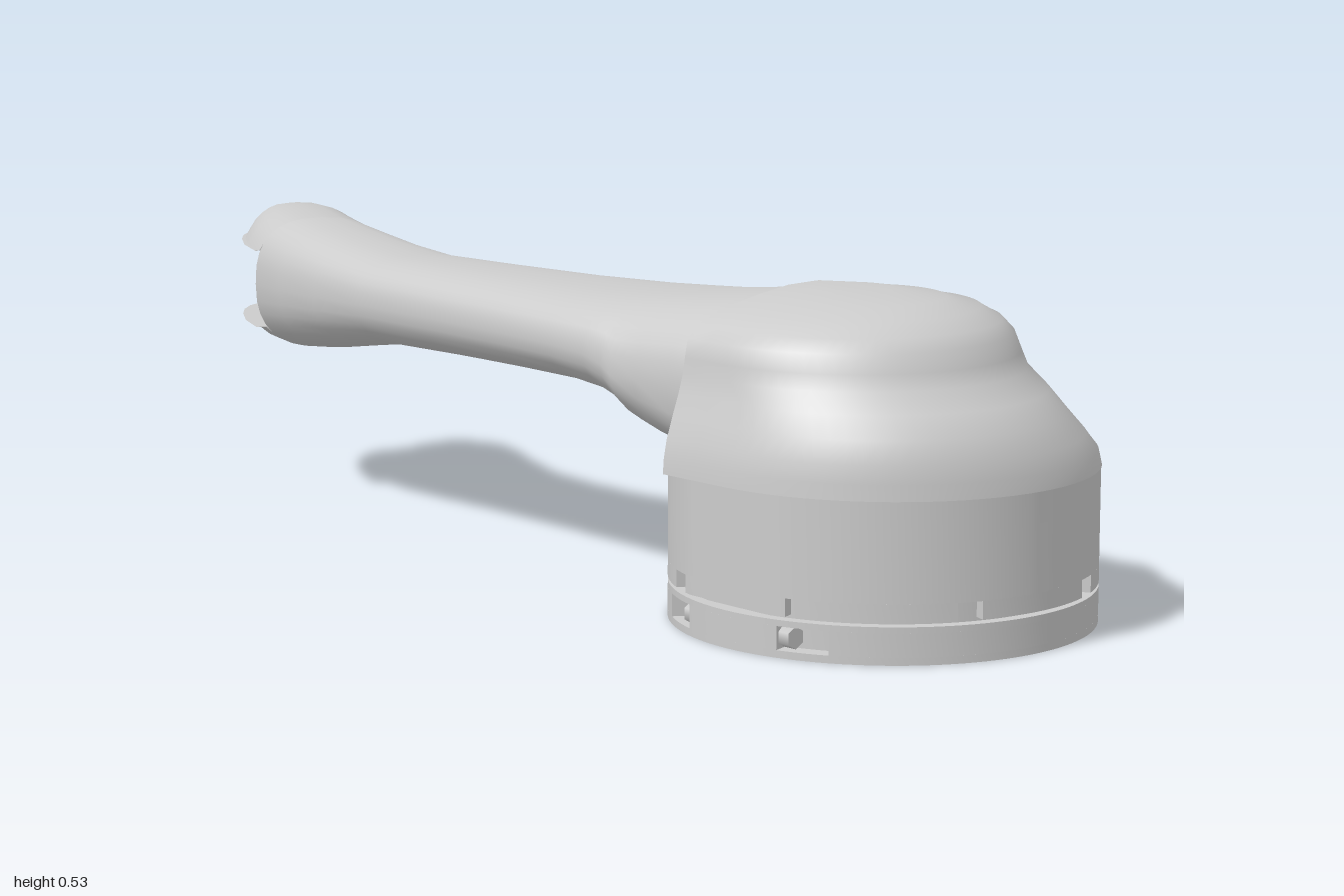
import * as THREE from 'three';
import { toCreasedNormals } from 'three/addons/utils/BufferGeometryUtils.js';

const material = new THREE.MeshStandardMaterial({ color: 0xcccccc });
const thinMaterial = new THREE.MeshStandardMaterial({ color: 0xcccccc, side: THREE.DoubleSide });
const HUB_Z = 0.65;
const TAU = Math.PI * 2;

function addMesh(parent, name, geometry, mat = material) {
  const mesh = new THREE.Mesh(geometry, mat);
  mesh.name = name;
  parent.add(mesh);
  return mesh;
}

// Skin over rows of [x, y, z] points; closed rows wrap round and get end caps
function loft(rows, closed, crease) {
  const n = rows[0].length, points = rows.flat(), index = [];
  const columns = closed ? n : n - 1;
  for (let i = 0; i < rows.length - 1; i++) {
    for (let j = 0; j < columns; j++) {
      const k = (j + 1) % n, a = i * n + j, b = i * n + k;
      index.push(a, a + n, b, b, a + n, b + n);
    }
  }
  if (closed) {
    [0, rows.length - 1].forEach((r, end) => {
      const centre = [0, 1, 2].map(c => rows[r].reduce((s, p) => s + p[c], 0) / n);
      const m = points.push(centre) - 1;
      for (let j = 0; j < n; j++) {
        const a = r * n + j, b = r * n + (j + 1) % n;
        if (end) index.push(m, b, a); else index.push(m, a, b);
      }
    });
  }
  const g = new THREE.BufferGeometry();
  g.setAttribute('position', new THREE.Float32BufferAttribute(points.flat(), 3));
  g.setIndex(index);
  return toCreasedNormals(g, crease);
}

// Part of a flat ring round the hub axis, its sides trimmed flat at x = +-maxX
function arcRing(rIn, rOut, a0, a1, y, h, maxX = 1) {
  const s = new THREE.Shape();
  s.absarc(0, 0, rOut, a0, a1, false);
  s.absarc(0, 0, rIn, a1, a0, true);
  s.closePath();
  const g = new THREE.ExtrudeGeometry(s, { depth: h, bevelEnabled: false, curveSegments: Math.ceil((a1 - a0) * 9) });
  g.rotateX(-Math.PI / 2);
  g.translate(0, y, HUB_Z);
  const p = g.attributes.position;
  for (let i = 0; i < p.count; i++) p.setX(i, THREE.MathUtils.clamp(p.getX(i), -maxX, maxX));
  return toCreasedNormals(g, 0.6);
}

// Head outline per level: y, left x, right x, front z, angle of the cover's right edge
const HEAD = [
  [0.255, -0.35, 0.345, 0.998, 0.52], [0.28, -0.348, 0.338, 0.994, 0.45], [0.31, -0.342, 0.305, 0.985, 0.36],
  [0.345, -0.33, 0.27, 0.965, 0.28], [0.38, -0.317, 0.247, 0.935, 0.24], [0.41, -0.308, 0.24, 0.892, 0.28],
  [0.435, -0.304, 0.237, 0.878, 0.34], [0.465, -0.298, 0.228, 0.866, 0.39], [0.485, -0.275, 0.21, 0.845, 0.38],
  [0.505, -0.225, 0.17, 0.81, 0.1], [0.52, -0.145, 0.105, 0.755, -0.5], [0.529, -0.08, 0.04, 0.66, -1.0],
  [0.53, -0.016, -0.012, 0.514, -1.5]
];
const COVER_BACK = 0.51;

// Point on a level: a circle about the level's own centre
function headPoint([y, xl, xr, zf], angle, inset) {
  const r = (xr - xl) / 2, shrunk = Math.max(r - inset, 0.001);
  return [(xl + xr) / 2 + shrunk * Math.cos(angle), y > 0.26 ? y - inset : y, zf - r + shrunk * Math.sin(angle)];
}

// One level of the cover, round the front and then straight back along the left side
function coverRow(level, inset) {
  const row = [], a0 = level[4];
  for (let j = 0; j <= 32; j++) row.push(headPoint(level, a0 + (Math.PI - a0) * j / 32, inset));
  const [x, y, z] = row[32];
  row.push([x, y, (z + COVER_BACK) / 2], [x, y, COVER_BACK]);
  return row;
}

// Arm sections: left x, left z, right x, right z, bottom y, top y, roundness below
const ARM = [
  [-0.285, 0.6, 0.205, 0.6, 0.257, 0.515, 0.5], [-0.287, 0.45, 0.205, 0.45, 0.257, 0.511, 0.6],
  [-0.285, 0.37, 0.182, 0.37, 0.257, 0.503, 0.85], [-0.285, 0.31, 0.157, 0.31, 0.262, 0.498, 1.1],
  [-0.284, 0.285, 0.147, 0.285, 0.293, 0.496, 1], [-0.283, 0.24, 0.127, 0.24, 0.319, 0.494, 0.9],
  [-0.28, 0.15, 0.095, 0.15, 0.333, 0.491, 0.85], [-0.268, 0, 0.05, 0, 0.335, 0.49, 0.85],
  [-0.258, -0.2, 0.018, -0.2, 0.335, 0.49, 0.85], [-0.247, -0.4, 0, -0.36, 0.332, 0.49, 0.85],
  [-0.235, -0.54, -0.002, -0.47, 0.313, 0.502, 0.85], [-0.222, -0.66, 0.003, -0.56, 0.296, 0.515, 0.85],
  [-0.2, -0.76, 0.018, -0.645, 0.285, 0.523, 0.8]
];
const FINGER = [
  ARM[ARM.length - 1], [-0.165, -0.84, 0.055, -0.74, 0.28, 0.526, 0.8],
  [-0.12, -0.91, 0.09, -0.81, 0.276, 0.525, 0.8], [-0.085, -0.953, 0.11, -0.885, 0.278, 0.522, 0.8],
  [-0.05, -0.983, 0.1, -0.935, 0.284, 0.516, 0.8], [-0.02, -0.996, 0.075, -0.973, 0.292, 0.508, 0.8],
  [0.005, -1, 0.045, -0.993, 0.3, 0.5, 0.8]
];

// Rounded section, optionally trimmed to a height range
function armSection([lx, lz, rx, rz, yb, yt, below], low = 0, high = 1) {
  const row = [];
  for (let j = 0; j < 32; j++) {
    const a = j / 32 * TAU, c = Math.cos(a), s = Math.sin(a);
    const power = s > 0 ? 0.77 : below;
    const t = 0.5 + 0.5 * Math.sign(c) * Math.pow(Math.abs(c), power);
    const y = (yb + yt) / 2 + (yt - yb) / 2 * Math.sign(s) * Math.pow(Math.abs(s), power);
    row.push([lx + (rx - lx) * t, THREE.MathUtils.clamp(y, low, high), lz + (rz - lz) * t]);
  }
  return row;
}

export function createModel() {
  const model = new THREE.Group();
  model.name = 'clampLever';

  // Split clamp ring with four screw pockets in its rim
  const slit = 0.022, p0 = 0.29, p1 = 0.54;
  const ringArc = (rIn, rOut, a0, a1, y, h) => addMesh(model, 'clampRing', arcRing(rIn, rOut, a0, a1, y, h));
  ringArc(0.26, 0.345, slit, TAU - slit, 0, 0.012);
  ringArc(0.26, 0.345, slit, TAU - slit, 0.05, 0.01);
  ringArc(0.26, 0.315, slit, TAU - slit, 0.012, 0.038);
  for (const [a0, a1] of [[slit, p0], [p1, Math.PI - p1], [Math.PI - p0, Math.PI + p0],
    [Math.PI + p1, TAU - p1], [TAU - p0, TAU - slit]]) {
    ringArc(0.315, 0.345, a0, a1, 0.012, 0.038);
  }

  // Hexagonal screws lying fore and aft in the pockets
  for (const sx of [-1, 1]) {
    for (const sz of [-1, 1]) {
      const screw = addMesh(model, 'ringScrew', new THREE.CylinderGeometry(0.018, 0.018, 0.04, 6));
      screw.rotation.x = Math.PI / 2;
      screw.position.set(sx * 0.308, 0.031, HUB_Z + sz * 0.098);
    }
  }

  // Hollow hub with flattened sides and notches along its lower edge
  addMesh(model, 'hubNeck', arcRing(0.26, 0.325, 0, TAU, 0.055, 0.045, 0.318));
  for (let k = 0; k < 8; k++) {
    const a = (k - 0.5) * TAU / 8;
    addMesh(model, 'hubNotchedEdge', arcRing(0.3, 0.345, a + 0.06, a + TAU / 8 - 0.06, 0.066, 0.03, 0.331));
  }
  addMesh(model, 'hubWall', arcRing(0.26, 0.345, 0, TAU, 0.095, 0.16, 0.331));
  const floor = addMesh(model, 'hubFloor', new THREE.CylinderGeometry(0.27, 0.27, 0.13, 48));
  floor.position.set(0, 0.185, HUB_Z);
  for (let k = 0; k < 8; k++) {
    const a = (k + 0.5) * TAU / 8;
    const key = addMesh(model, 'innerKey', new THREE.BoxGeometry(0.02, 0.06, 0.03));
    key.position.set(0.254 * Math.cos(a), 0.09, HUB_Z + 0.254 * Math.sin(a));
    key.rotation.y = -a;
  }

  // Head under the cover
  const core = HEAD.map(level =>
    Array.from({ length: 56 }, (_, j) => headPoint(level, j / 56 * TAU, 0.012)));
  addMesh(model, 'head', loft(core, true, 1.1));

  // Cover shell with turned-in edges
  const cover = HEAD.map(level => {
    const outer = coverRow(level, 0), inner = coverRow(level, 0.016);
    return [inner[0], ...outer, inner[inner.length - 1]];
  });
  const lip = coverRow(HEAD[0], 0.016);
  cover.unshift([lip[0], ...lip, lip[lip.length - 1]]);
  addMesh(model, 'headCover', loft(cover, false, 1.1), thinMaterial);

  // Lever arm and the two fork fingers
  addMesh(model, 'arm', loft(ARM.map(s => armSection(s)), true, 0.8));
  addMesh(model, 'upperFinger', loft(FINGER.map(s => armSection(s, 0.465, 1)), true, 0.8));
  addMesh(model, 'lowerFinger', loft(FINGER.map(s => armSection(s, 0, 0.325)), true, 0.8));

  return model;
}
